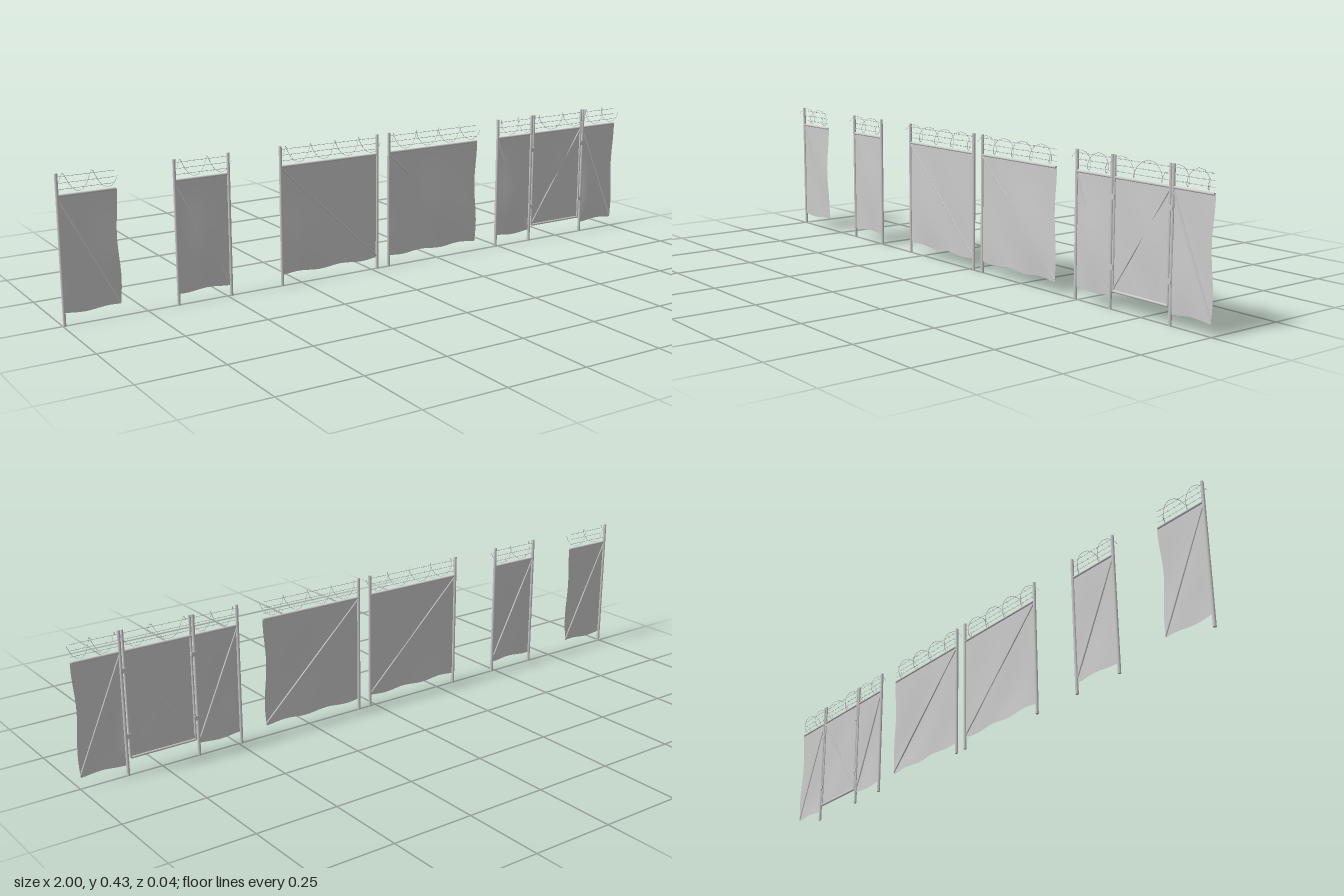
import * as THREE from 'three';
import { mergeGeometries } from 'three/addons/utils/BufferGeometryUtils.js';

const metal = new THREE.MeshStandardMaterial({ color: 0xcccccc });
const sheetMat = new THREE.MeshStandardMaterial({ color: 0xcccccc, side: THREE.DoubleSide });
const TOP = 0.428, RAIL = 0.366, BOTTOM = 0.035, COIL_Y = 0.4;

function add(parent, name, geometry, material = metal) {
  const mesh = new THREE.Mesh(geometry, material);
  mesh.name = name;
  parent.add(mesh);
  return mesh;
}

// Round bar between two points in the fence plane
function bar(parent, name, x0, y0, x1, y1, radius, sides = 8) {
  const a = new THREE.Vector3(x0, y0, 0), b = new THREE.Vector3(x1, y1, 0);
  const dir = b.clone().sub(a);
  const mesh = add(parent, name, new THREE.CylinderGeometry(radius, radius, dir.length(), sides));
  mesh.position.copy(a).add(b).multiplyScalar(0.5);
  mesh.quaternion.setFromUnitVectors(new THREE.Vector3(0, 1, 0), dir.normalize());
}

const post = (g, x) => bar(g, 'post', x, 0, x, TOP, 0.0048);

// Sagging mesh sheet: bulges forward low down, with a wavy bottom and loose free edge
function sheet(parent, x0, x1, y0, free) {
  const w = x1 - x0, h = RAIL - y0;
  const geo = new THREE.PlaneGeometry(w, h, Math.max(8, Math.round(w / 0.015)), 14);
  const p = geo.attributes.position;
  for (let i = 0; i < p.count; i++) {
    const u = THREE.MathUtils.clamp(p.getX(i) / w + 0.5, 0, 1);
    const v = THREE.MathUtils.clamp(p.getY(i) / h + 0.5, 0, 1);
    const x = x0 + u * w, low = 1 - v;
    const side = free ? Math.min(1, u * 6) : Math.sin(Math.PI * u);
    const bulge = 0.006 * Math.sin(Math.PI * Math.pow(low, 1.5)) * side * (0.45 + 0.55 * Math.sin(x * 23 + v * 3));
    const hem = 0.003 * Math.sin(x * 42) * Math.pow(low, 4);
    const fray = free ? 0.004 * Math.sin(v * 8) * Math.pow(u, 8) : 0;
    p.setXYZ(i, x + fray, y0 + v * h + hem, bulge);
  }
  geo.computeVertexNormals();
  add(parent, 'meshSheet', geo, sheetMat);
}

// Three barbed strands and one loose coil along the top
function barbedWire(parent, x0, x1) {
  const barbs = [];
  [0.383, 0.4, 0.418].forEach((y, row) => {
    bar(parent, 'wireStrand', x0, y, x1, y, 0.0007, 4);
    for (let x = x0 + 0.01 + row * 0.005; x < x1 - 0.003; x += 0.022) {
      for (const tilt of [0.7, -0.7]) {
        const spike = new THREE.BoxGeometry(0.0006, 0.006, 0.0006);
        spike.rotateX(tilt).rotateZ(tilt * 0.5).translate(x, y, 0);
        barbs.push(spike);
      }
    }
  });
  add(parent, 'barbs', mergeGeometries(barbs));
  const turns = Math.max(2, Math.round((x1 - x0) / 0.085)), pts = [];
  for (let i = 0; i <= turns * 10; i++) {
    const a = i / 10 * Math.PI * 2 + 0.3;
    pts.push(new THREE.Vector3(
      x0 + (x1 - x0) * i / (turns * 10),
      COIL_Y + 0.0265 * Math.sin(a),
      0.0205 * Math.cos(a)));
  }
  const path = new THREE.CatmullRomCurve3(pts);
  add(parent, 'wireCoil', new THREE.TubeGeometry(path, turns * 10, 0.0008, 4));
}

// One bay: sheet, top rail and brace falling to the right
function bay(parent, x0, x1, free) {
  sheet(parent, x0, x1, BOTTOM, free);
  bar(parent, 'topRail', x0, RAIL, x1, RAIL, 0.0038);
  bar(parent, 'brace', x0, RAIL - 0.004, x1, BOTTOM + 0.005, 0.0026);
}

function section(root, name, x0, x1, free) {
  const g = new THREE.Group();
  g.name = name;
  post(g, x0);
  if (!free) post(g, x1);
  bay(g, x0, x1, free);
  barbedWire(g, x0, x1);
  root.add(g);
}

function gateSection(root) {
  const g = new THREE.Group();
  g.name = 'gateSection';
  [0.49, 0.631, 0.856].forEach((x) => post(g, x));
  bay(g, 0.49, 0.631, false);
  bay(g, 0.856, 0.996, true);

  // Gate leaf with its own frame and opposite brace
  const gate = new THREE.Group();
  gate.name = 'gate';
  const l = 0.641, r = 0.846, low = 0.052;
  for (const x of [l, r]) bar(gate, 'gateUpright', x, low, x, TOP, 0.0038);
  for (const y of [low, RAIL]) bar(gate, 'gateRail', l, y, r, y, 0.0038);
  bar(gate, 'gateBrace', l, low + 0.004, r, RAIL - 0.004, 0.0028);
  sheet(gate, l, r, low, false);
  g.add(gate);

  // Hinges and latch plates
  for (const x of [0.636, 0.851]) for (const y of [0.118, 0.312]) {
    const hinge = add(g, 'hinge', new THREE.BoxGeometry(0.016, 0.014, 0.011));
    hinge.position.set(x, y, 0);
  }
  barbedWire(g, 0.49, 0.631);
  barbedWire(g, 0.641, 0.846);
  barbedWire(g, 0.856, 0.998);
  root.add(g);
}

export function createModel() {
  const root = new THREE.Group();
  root.name = 'fenceSet';
  section(root, 'shortOpenSection', -0.995, -0.83, true);
  section(root, 'shortClosedSection', -0.655, -0.487, false);
  section(root, 'longClosedSection', -0.317, 0.021, false);
  section(root, 'longOpenSection', 0.064, 0.402, true);
  gateSection(root);
  return root;
}
